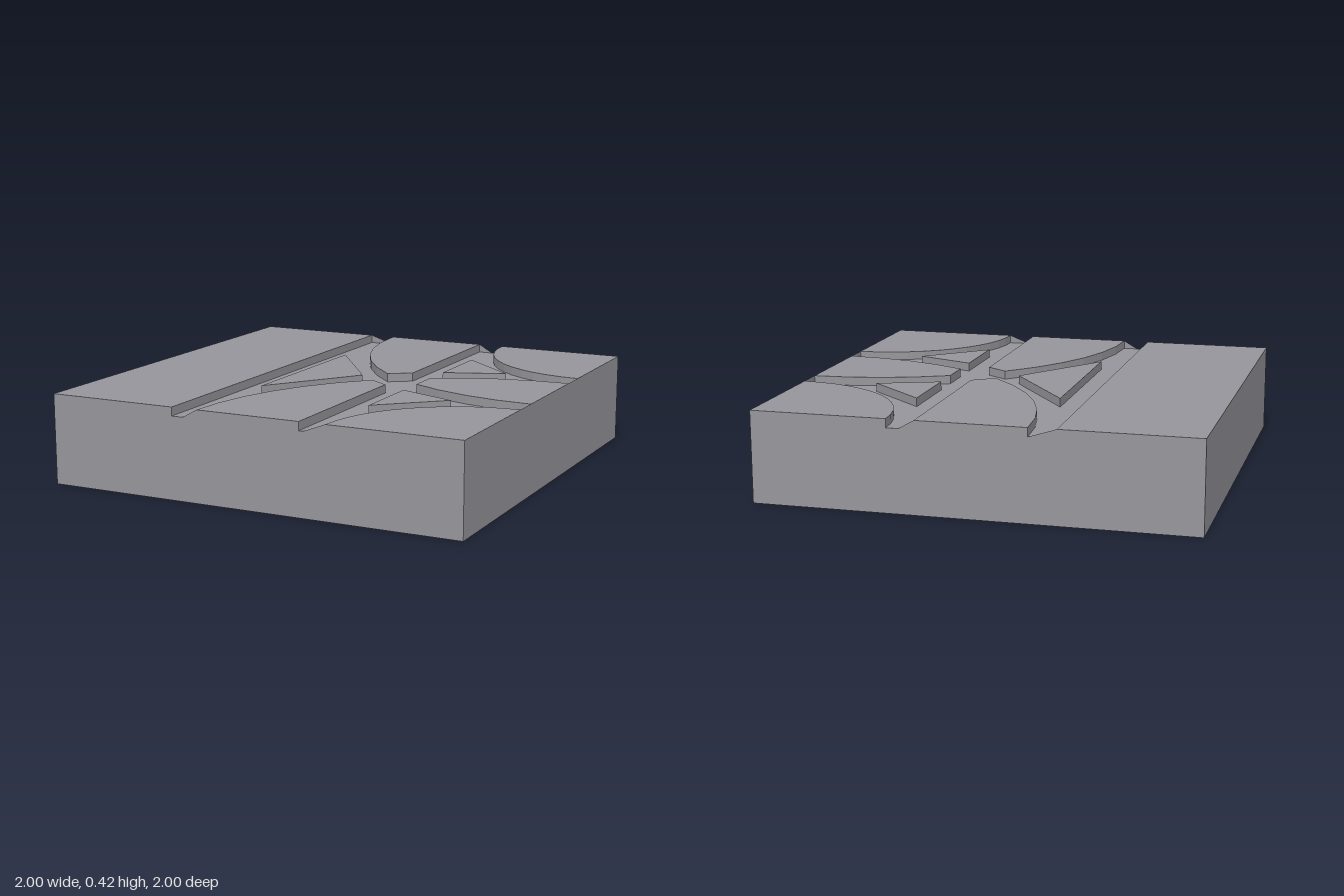
import * as THREE from 'three';

const FLOOR = 0.38, TOP = 0.42, STEP = THREE.MathUtils.degToRad(7.5);
const S = 0.375; // outer side of the straight and curved channels

// Arc about the corner (1, side), from x0 to x1, as [x, z] points
function arc(side, r, x0, x1) {
  const a0 = Math.acos((1 - x0) / r), a1 = Math.acos((1 - x1) / r);
  const n = Math.max(2, Math.round(Math.abs(a1 - a0) / STEP));
  return Array.from({ length: n + 1 }, (_, i) => {
    const a = a0 + (a1 - a0) * i / n;
    return [1 - r * Math.cos(a), side * (1 - r * Math.sin(a))];
  });
}

const mirror = pts => pts.map(([x, z]) => [x, -z]);

export function createModel() {
  const group = new THREE.Group();
  const material = new THREE.MeshStandardMaterial({ color: 0x95959b, flatShading: true });
  const thin = material.clone();
  thin.side = THREE.DoubleSide;

  const add = (name, geometry, mat = material) => {
    const mesh = new THREE.Mesh(geometry, mat);
    mesh.name = name;
    group.add(mesh);
    return mesh;
  };

  // Raised island standing on the channel floor
  const island = (name, pts) => {
    const shape = new THREE.Shape(pts.map(([x, z]) => new THREE.Vector2(x, -z)));
    const geo = new THREE.ExtrudeGeometry(shape, { depth: TOP - FLOOR, bevelEnabled: false });
    geo.rotateX(-Math.PI / 2).translate(0, FLOOR, 0);
    add(name, geo);
  };
  const pair = (name, pts) => {
    island(name + 'Back', pts);
    island(name + 'Front', mirror(pts));
  };

  // Slab up to the channel floor
  add('slab', new THREE.BoxGeometry(2, FLOOR, 2).translate(0, FLOOR / 2, 0));

  // Plain strip beside the straight channel
  island('sideStrip', [[-1, -1], [-S, -1], [-S, 1], [-1, 1]]);

  // Pieces between the wide curve and the straight channel
  pair('curvedIsland', [...arc(-1, 1.25, -0.25, 0.15), [0.25, -0.153], [0.25, -1]]);

  // Quarter discs in the corners
  pair('cornerDisc', [...arc(-1, 0.625, S, 1), [1, -1]]);

  // Straight-sided triangles between the curves
  pair('smallTriangle', [[S, -0.587], [0.657, -0.334], [S, -0.225]]);
  const edge = [[-0.25, -0.43], [0.016, -0.06], [0.057, 0]];
  island('largeTriangle', [...edge, ...mirror(edge).reverse().slice(1)]);

  // Piece between the two wide curves
  const flare = arc(1, 1.25, S, 1);
  island('centreIsland', [...flare, ...mirror(flare).reverse()]);

  // Thin fills that partly close the channel ends
  const fill = (name, pts, z) => {
    const shape = new THREE.Shape(pts.map(p => new THREE.Vector2(...p)));
    add(name, new THREE.ShapeGeometry(shape), thin).position.z = z;
  };
  fill('frontEndFill', [[-0.32, FLOOR], [-0.25, FLOOR], [-0.25, TOP]], 1);
  fill('frontEndFill', [[0.27, FLOOR], [S, FLOOR], [S, TOP]], 1);
  fill('backEndFill', [[-S, FLOOR], [-0.25, FLOOR], [-S, TOP]], -1);
  fill('backEndFill', [[0.25, FLOOR], [0.32, FLOOR], [0.25, TOP]], -1);
  for (const s of [-1, 1]) {
    const geo = new THREE.PlaneGeometry(0.125, TOP - FLOOR).rotateY(Math.PI / 2);
    add('sideEndFill', geo, thin).position.set(1, (TOP + FLOOR) / 2, s * 0.3125);
  }
  return group;
}
